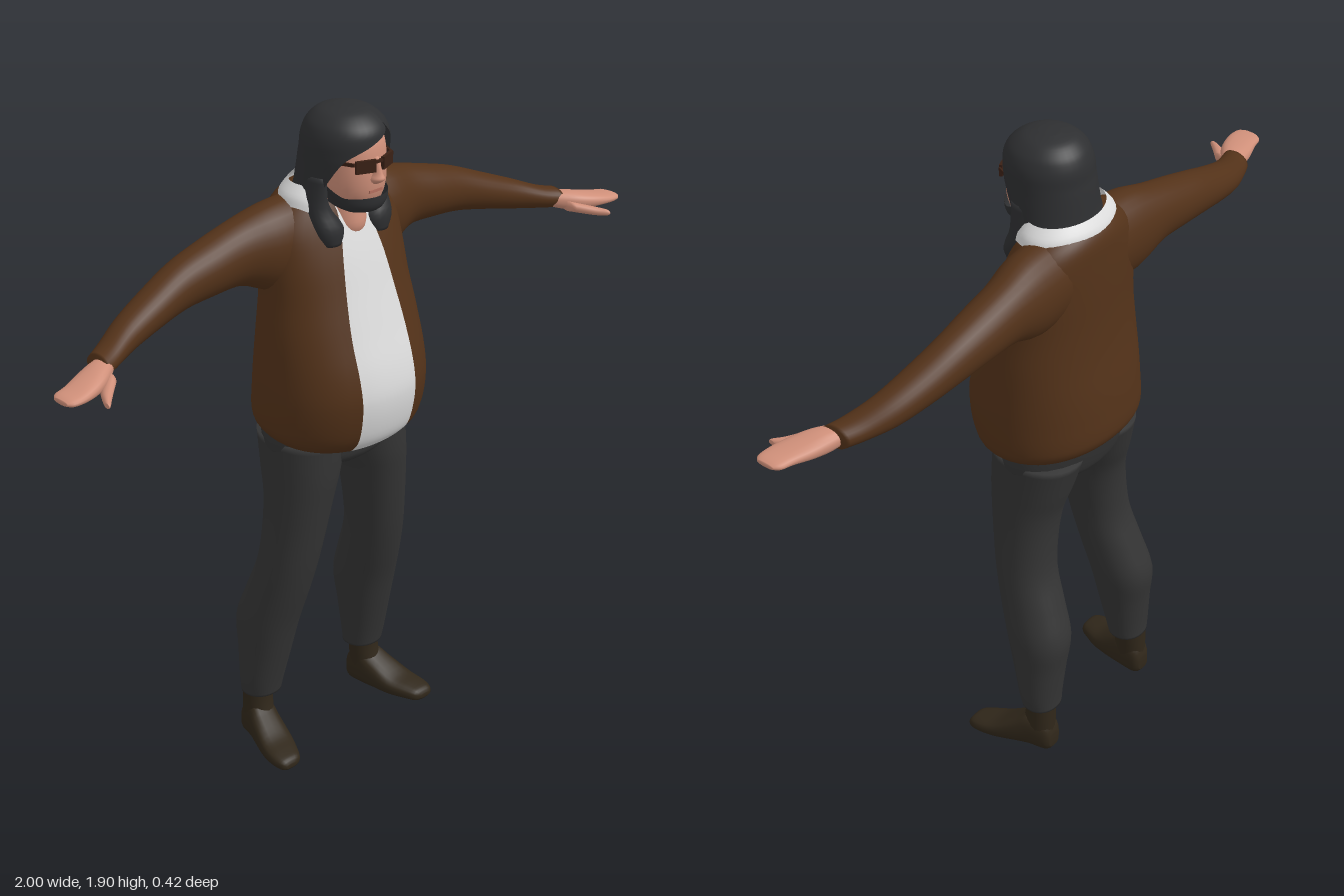
import * as THREE from 'three';

const mat = (name, color, side = THREE.FrontSide) => {
  const m = new THREE.MeshStandardMaterial({ color, side });
  m.name = name;
  return m;
};

// Catmull-Rom smoothing of rows of numbers
function smooth(rows, n = 4) {
  const out = [];
  const at = i => rows[Math.min(Math.max(i, 0), rows.length - 1)];
  for (let i = 0; i < rows.length - 1; i++) {
    for (let k = 0; k < n; k++) {
      const t = k / n, [a, b, c, d] = [at(i - 1), at(i), at(i + 1), at(i + 2)];
      out.push(b.map((q, j) => 0.5 * (2 * q + (c[j] - a[j]) * t
        + (2 * a[j] - 5 * q + 4 * c[j] - d[j]) * t * t
        + (3 * q - a[j] - 3 * c[j] + d[j]) * t * t * t)));
    }
  }
  out.push(rows[rows.length - 1]);
  return out;
}

// Skin over oval sections: each row is [position, u0, u1, v0, v1, extra...].
// Axis y: u = x, v = z.  Axis x: u = z, v = y.  Axis z: u = x, v = y.
function loft(rows, { axis = 'y', seg = 28, p = 1, range = null, cap = true, warp = null, mirror = false } = {}) {
  const list = smooth(rows);
  if (cap) {
    const point = r => [r[0], ...[1, 1, 3, 3].map(k => (r[k] + r[k + 1]) / 2), ...r.slice(5)];
    list.unshift(point(list[0]));
    list.push(point(list[list.length - 1]));
  }
  const pos = [], idx = [], cols = range ? seg + 1 : seg;
  const pw = q => Math.sign(q) * Math.abs(q) ** p;
  for (const r of list) {
    const [a0, a1] = range ? range(r) : [0, Math.PI * 2];
    for (let j = 0; j < cols; j++) {
      const a = a0 + (a1 - a0) * j / seg;
      const su = pw(Math.sin(a)) * (axis === 'z' ? -1 : 1);
      const u = (r[1] + r[2]) / 2 + su * (r[2] - r[1]) / 2;
      const v = (r[3] + r[4]) / 2 + pw(Math.cos(a)) * (r[4] - r[3]) / 2;
      const q = axis === 'y' ? [u, r[0], v] : axis === 'x' ? [r[0], v, u] : [u, v, r[0]];
      if (warp) warp(q);
      if (mirror) q[0] *= -1;
      pos.push(...q);
    }
  }
  for (let i = 0; i < list.length - 1; i++) {
    for (let j = 0; j < seg; j++) {
      const k = (j + 1) % cols;
      const a = i * cols + j, b = i * cols + k, c = a + cols, d = b + cols;
      if (mirror) idx.push(a, d, b, a, c, d);
      else idx.push(a, b, d, a, d, c);
    }
  }
  const g = new THREE.BufferGeometry();
  g.setAttribute('position', new THREE.Float32BufferAttribute(pos, 3));
  g.setIndex(idx);
  g.computeVertexNormals();
  return g;
}

export function createModel() {
  const root = new THREE.Group();
  root.name = 'standingMan';
  const skin = mat('skin', 0xd0907a), leather = mat('brownJacket', 0x533219);
  const white = mat('whiteShirt', 0xdcdcdc, THREE.DoubleSide), cloth = mat('darkTrousers', 0x343434);
  const boot = mat('brownBoots', 0x30271a), hairMat = mat('darkHair', 0x2e2f31, THREE.DoubleSide);
  const lens = mat('brownLens', 0x3a2015), lip = mat('lips', 0xb3705f);
  const add = (name, geo, m) => {
    const mesh = new THREE.Mesh(geo, m);
    mesh.name = name;
    root.add(mesh);
    return mesh;
  };

  // Torso: jacket and shirt share sections; the last number is the half angle of the opening
  const torso = [
    [0.99, -0.17, 0.17, -0.14, 0.10, 0.4], [0.985, -0.21, 0.21, -0.18, 0.14, 0.4],
    [1.01, -0.238, 0.238, -0.205, 0.17, 0.37], [1.05, -0.248, 0.248, -0.21, 0.195, 0.36],
    [1.12, -0.25, 0.25, -0.207, 0.21, 0.37], [1.2, -0.247, 0.247, -0.198, 0.198, 0.38],
    [1.3, -0.24, 0.24, -0.182, 0.165, 0.385], [1.4, -0.228, 0.228, -0.172, 0.132, 0.36],
    [1.5, -0.225, 0.225, -0.167, 0.1, 0.3], [1.58, -0.215, 0.215, -0.162, 0.07, 0.24],
    [1.64, -0.17, 0.17, -0.155, 0.045, 0.3], [1.675, -0.11, 0.11, -0.13, 0.02, 0.6],
    [1.685, -0.03, 0.03, -0.08, -0.04, 0.8]];
  const hem = q => { q[1] -= q[2] * 0.15 * Math.min(1, Math.max(0, (1.12 - q[1]) / 0.1)); };
  add('jacket', loft(torso, { seg: 40, p: 0.93, warp: hem, range: r => [r[5], Math.PI * 2 - r[5]] }), leather);
  add('shirt', loft(torso, { seg: 10, p: 0.93, warp: hem, range: r => [-r[5], r[5]] }), white);
  add('shirtCollar', loft([[1.645, -0.158, 0.158, -0.148, 0.075], [1.67, -0.15, 0.15, -0.142, 0.07],
    [1.698, -0.125, 0.125, -0.122, 0.055]], {
    cap: false, range: () => [0.85, Math.PI * 2 - 0.85], warp: q => { q[1] -= Math.max(0, q[2]) * 0.4; }
  }), white);

  // Hips
  add('hips', loft([[0.885, -0.09, 0.09, -0.1, 0.06], [0.915, -0.19, 0.19, -0.145, 0.095],
    [0.96, -0.222, 0.222, -0.165, 0.105], [1.04, -0.225, 0.225, -0.185, 0.12]]), cloth);

  // Limbs, mirrored left and right
  for (const mirror of [false, true]) {
    const side = mirror ? 'right' : 'left';
    add(side + 'Sleeve', loft([[0.08, -0.15, 0.03, 1.42, 1.665], [0.2, -0.15, 0.025, 1.415, 1.657],
      [0.3, -0.145, 0.0, 1.452, 1.632], [0.4, -0.14, -0.005, 1.452, 1.605],
      [0.5, -0.13, -0.01, 1.443, 1.575], [0.6, -0.112, 0, 1.425, 1.535],
      [0.7, -0.085, 0.015, 1.405, 1.495], [0.78, -0.05, 0.042, 1.395, 1.462],
      [0.83, -0.025, 0.06, 1.39, 1.45]], { axis: 'x', mirror }), leather);
    add(side + 'Hand', loft([[0.8, -0.01, 0.045, 1.4, 1.44], [0.85, 0, 0.085, 1.385, 1.44],
      [0.9, 0.015, 0.11, 1.385, 1.43], [0.95, 0.035, 0.125, 1.39, 1.42],
      [0.985, 0.045, 0.125, 1.393, 1.415], [1, 0.062, 0.113, 1.398, 1.41]], { axis: 'x', seg: 18, p: 0.85, mirror }), skin);
    add(side + 'Thumb', loft([[0.83, 0.05, 0.09, 1.39, 1.42], [0.88, 0.09, 0.135, 1.378, 1.405],
      [0.905, 0.13, 0.16, 1.378, 1.398], [0.912, 0.145, 0.162, 1.381, 1.394]], { axis: 'x', seg: 12, mirror }), skin);
    add(side + 'TrouserLeg', loft([[0.155, 0.142, 0.258, -0.165, -0.06], [0.2, 0.135, 0.264, -0.167, -0.05],
      [0.3, 0.12, 0.267, -0.176, -0.025], [0.4, 0.105, 0.27, -0.185, 0], [0.5, 0.095, 0.258, -0.152, 0.03],
      [0.6, 0.085, 0.245, -0.117, 0.055], [0.7, 0.07, 0.234, -0.11, 0.073], [0.8, 0.052, 0.226, -0.117, 0.088],
      [0.88, 0.03, 0.222, -0.14, 0.098], [0.98, 0.005, 0.218, -0.165, 0.1]], { p: 0.92, mirror }), cloth);
    add(side + 'BootShaft', loft([[0.04, 0.172, 0.255, -0.163, -0.05], [0.12, 0.168, 0.253, -0.161, -0.072],
      [0.2, 0.166, 0.255, -0.16, -0.075]], { seg: 20, mirror }), boot);
    add(side + 'BootFoot', loft([[-0.166, 0.19, 0.23, 0.015, 0.06], [-0.15, 0.175, 0.245, 0, 0.1],
      [-0.1, 0.17, 0.262, 0, 0.12], [-0.06, 0.175, 0.278, 0, 0.095], [0, 0.188, 0.298, 0, 0.057],
      [0.05, 0.21, 0.305, 0, 0.043], [0.08, 0.228, 0.298, 0, 0.034], [0.09, 0.25, 0.285, 0.008, 0.02]],
    { axis: 'z', seg: 20, p: 0.75, mirror, warp: q => { q[1] = Math.max(0, q[1]); } }), boot);

    // Hair lock lying on the chest
    add(side + 'HairLock', loft([[1.545, 0.06, 0.11, 0.05, 0.085], [1.59, 0.045, 0.13, 0.025, 0.087],
      [1.65, 0.075, 0.13, -0.01, 0.062], [1.73, 0.085, 0.12, -0.02, 0.06]], { seg: 14, mirror }), hairMat);

    // Sunglass lens and temple
    const s = mirror ? -1 : 1;
    const glass = add(side + 'Lens', new THREE.BoxGeometry(0.056, 0.034, 0.009), lens);
    glass.position.set(s * 0.038, 1.768, 0.14);
    glass.rotation.y = s * 0.38;
    const temple = add(side + 'Temple', new THREE.BoxGeometry(0.006, 0.009, 0.075), lens);
    temple.position.set(s * 0.082, 1.776, 0.095);
    temple.rotation.y = -s * 0.4;
  }

  // Neck and head
  add('neck', loft([[1.55, -0.05, 0.05, -0.06, 0.07], [1.58, -0.058, 0.058, -0.065, 0.082],
    [1.63, -0.062, 0.062, -0.07, 0.076], [1.7, -0.062, 0.062, -0.07, 0.07]]), skin);
  add('head', loft([[1.635, -0.045, 0.045, -0.02, 0.105], [1.66, -0.07, 0.07, -0.05, 0.128],
    [1.7, -0.085, 0.085, -0.07, 0.14], [1.76, -0.091, 0.091, -0.08, 0.14],
    [1.82, -0.09, 0.09, -0.08, 0.13], [1.86, -0.065, 0.065, -0.05, 0.1]], { p: 0.93 }), skin);
  add('nose', loft([[1.715, -0.012, 0.012, 0.12, 0.148], [1.728, -0.02, 0.02, 0.115, 0.166],
    [1.745, -0.013, 0.013, 0.115, 0.16], [1.785, -0.009, 0.009, 0.115, 0.146]], { seg: 12 }), skin);
  add('mouth', new THREE.BoxGeometry(0.045, 0.008, 0.009), lip).position.set(0, 1.694, 0.136);
  add('glassesBridge', new THREE.BoxGeometry(0.028, 0.008, 0.008), lens).position.set(0, 1.777, 0.148);

  // Beard along the jaw, rising toward the ears
  add('beard', loft([[1.628, -0.03, 0.03, 0.02, 0.095], [1.636, -0.062, 0.062, -0.02, 0.132],
    [1.655, -0.083, 0.083, -0.04, 0.146], [1.68, -0.091, 0.091, -0.055, 0.148]], {
    cap: false, range: () => [-1.7, 1.7], warp: q => { q[1] += Math.max(0, 0.1 - q[2]) * 0.5 * (q[1] > 1.65 ? 1 : 0.3); }
  }), hairMat);

  // Hair: the last two numbers are the edges of the face opening, swept to one side
  add('hair', loft([[1.6, -0.118, 0.118, -0.11, 0.05, -1.4, 1.4], [1.66, -0.124, 0.124, -0.118, 0.085, -1.3, 1.3],
    [1.7, -0.122, 0.122, -0.113, 0.115, -1.1, 1.1], [1.76, -0.119, 0.119, -0.105, 0.135, -0.88, 0.88],
    [1.79, -0.118, 0.118, -0.1, 0.14, -0.65, 0.82], [1.82, -0.116, 0.116, -0.097, 0.142, -0.1, 0.72],
    [1.845, -0.109, 0.109, -0.09, 0.138, 0.4, 0.55], [1.868, -0.095, 0.095, -0.077, 0.122, 0.45, 0.45],
    [1.89, -0.066, 0.066, -0.05, 0.09, 0.45, 0.45], [1.9, -0.025, 0.025, -0.01, 0.05, 0.45, 0.45]],
  { seg: 36, range: r => [r[6], r[5] + Math.PI * 2], cap: false }), hairMat);
  add('hairCrown', loft([[1.86, -0.06, 0.06, -0.04, 0.08], [1.885, -0.055, 0.055, -0.04, 0.08],
    [1.9, -0.026, 0.026, -0.011, 0.051]], { seg: 20 }), hairMat);

  return root;
}
